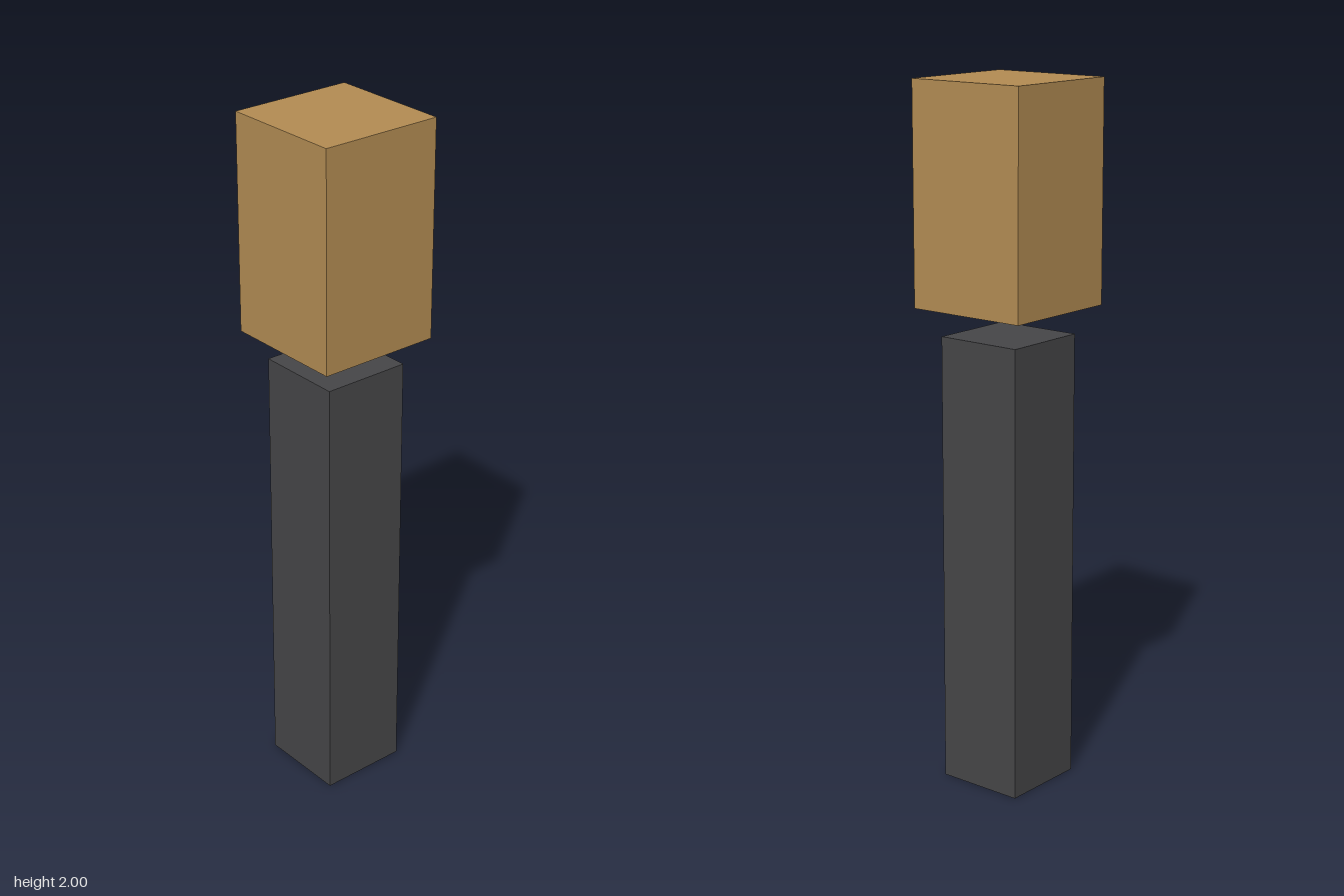
import * as THREE from 'three';

// Square upright block resting at height y
function block(name, width, height, y, color) {
  const mesh = new THREE.Mesh(
    new THREE.BoxGeometry(width, height, width),
    new THREE.MeshStandardMaterial({ color })
  );
  mesh.name = name;
  mesh.position.y = y + height / 2;
  return mesh;
}

export function createModel() {
  const group = new THREE.Group();
  group.name = 'postWithFloatingHead';
  group.add(
    block('post', 0.26, 1.3, 0, 0x464648), // dark lower shaft
    block('head', 0.364, 0.62, 1.38, 0xb38c53) // tan block, floating above a small gap
  );
  return group;
}
